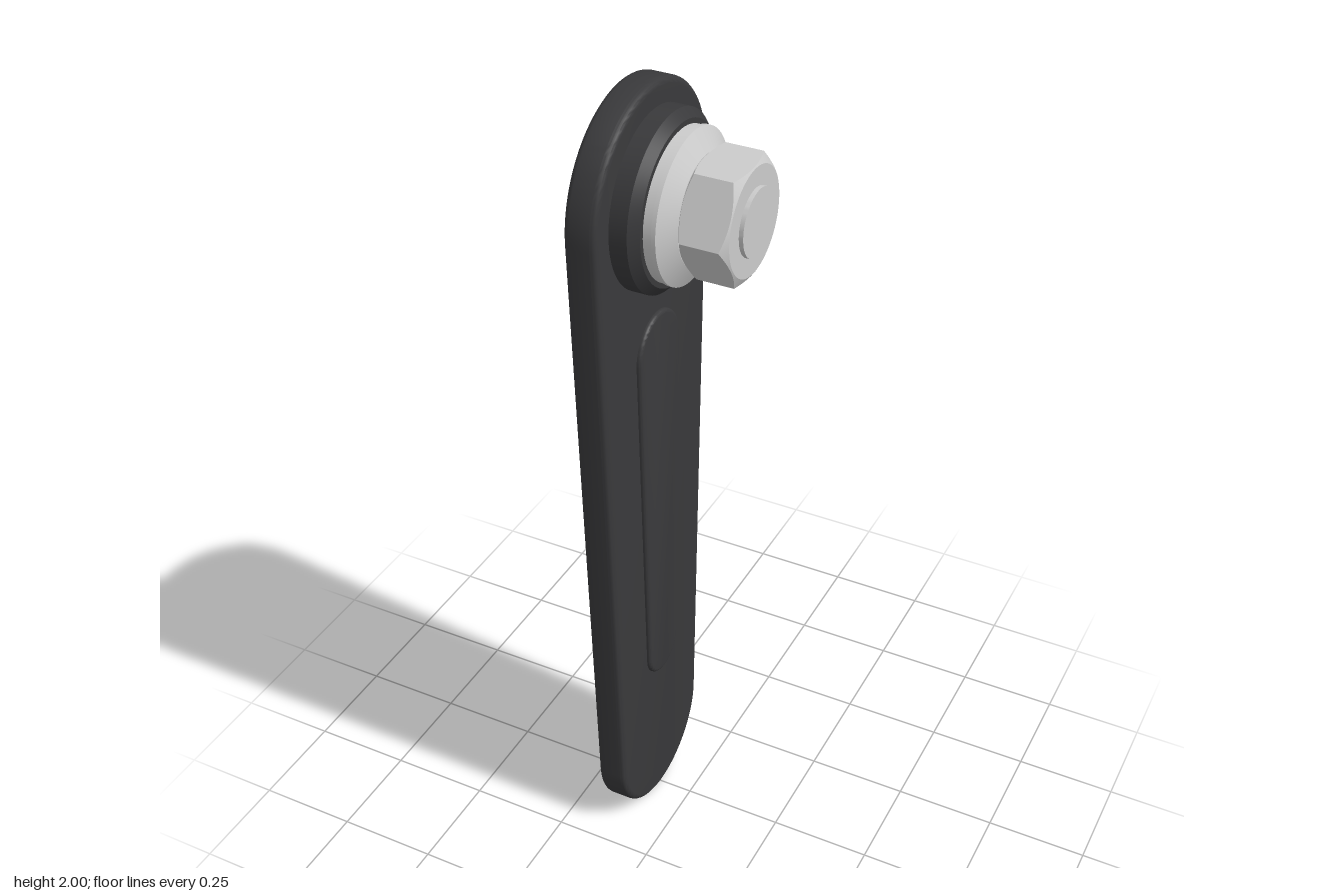
import * as THREE from 'three';
import { toCreasedNormals } from 'three/addons/utils/BufferGeometryUtils.js';

const AXIS_Y = 1.743; // height of the pivot axis, which runs along x

const dark = new THREE.MeshStandardMaterial({ color: 0x39393b });
const steel = new THREE.MeshStandardMaterial({ color: 0xcccccc });

function addPart(group, name, geometry, material) {
  const mesh = new THREE.Mesh(toCreasedNormals(geometry, 0.5), material);
  mesh.name = name;
  group.add(mesh);
}

// Tapered slot outline (two circles joined by tangents), extruded from x0 to x1 with rounded rims
function taperedSlot(topY, topR, bottomY, bottomR, x0, x1, bevel) {
  const a = Math.asin((bottomR - topR) / (topY - bottomY));
  const shape = new THREE.Shape();
  shape.absarc(0, topY, topR - bevel, a, Math.PI - a);
  shape.absarc(0, bottomY, bottomR - bevel, Math.PI - a, 2 * Math.PI + a);
  const geometry = new THREE.ExtrudeGeometry(shape, {
    depth: x1 - x0 - 2 * bevel, curveSegments: 32,
    bevelThickness: bevel, bevelSize: bevel, bevelSegments: 4,
  });
  geometry.translate(0, 0, x0 + bevel);
  return geometry.rotateY(Math.PI / 2);
}

// Turned part around the pivot axis; profile is [radius, x] from back to front
function turned(profile) {
  const points = profile.map(([r, x]) => new THREE.Vector2(r, x));
  return new THREE.LatheGeometry(points, 64).rotateZ(-Math.PI / 2).translate(0, AXIS_Y, 0);
}

// Hexagonal nut whose corners are cut by a cone at both ends
function hexNut(x0, x1, cornerR, faceR, turn) {
  const perSide = 12, n = perSide * 6, slope = 0.58;
  const apothem = cornerR * Math.cos(Math.PI / 6);
  const positions = [], index = [];
  for (let ring = 0; ring < 6; ring++) {
    for (let j = 0; j <= n; j++) {
      const local = ((j % perSide) / perSide - 0.5) * Math.PI / 3;
      const hexR = apothem / Math.cos(local);
      const cut = (hexR - faceR) * slope;
      const r = [0.07, faceR, hexR, hexR, faceR, 0.07][ring];
      const x = [x0, x0, x0 + cut, x1 - cut, x1, x1][ring];
      const angle = turn + (j / n) * Math.PI * 2;
      positions.push(x, AXIS_Y + r * Math.cos(angle), r * Math.sin(angle));
    }
  }
  for (let ring = 0; ring < 5; ring++) {
    for (let j = 0; j < n; j++) {
      const a = ring * (n + 1) + j, c = a + n + 1;
      index.push(a, a + 1, c, a + 1, c + 1, c);
    }
  }
  const geometry = new THREE.BufferGeometry();
  geometry.setAttribute('position', new THREE.Float32BufferAttribute(positions, 3));
  geometry.setIndex(index);
  return geometry;
}

export function createModel() {
  const group = new THREE.Group();
  group.name = 'leverArm';

  // Dark lever with a raised rib and a chamfered pivot boss
  addPart(group, 'lever', taperedSlot(1.742, 0.258, 0.2, 0.2, -0.16, -0.084, 0.014), dark);
  addPart(group, 'rib', taperedSlot(1.367, 0.094, 0.486, 0.07, -0.1, -0.073, 0.008), dark);
  addPart(group, 'pivotBoss',
    turned([[0, -0.1], [0.202, -0.1], [0.202, -0.042], [0.182, -0.022], [0, -0.022]]), dark);

  // Steel hardware stacked on the pivot
  addPart(group, 'flatWasher',
    turned([[0, -0.03], [0.17, -0.03], [0.17, -0.002], [0, -0.002]]), steel);
  addPart(group, 'conicalWasher',
    turned([[0, -0.002], [0.173, -0.002], [0.173, 0.008], [0.125, 0.035], [0, 0.035]]), steel);
  addPart(group, 'hexNut', hexNut(0.035, 0.15, 0.145, 0.122, THREE.MathUtils.degToRad(32.5)), steel);
  addPart(group, 'studEnd',
    turned([[0, 0.03], [0.077, 0.03], [0.077, 0.16], [0, 0.16]]), steel);

  return group;
}
